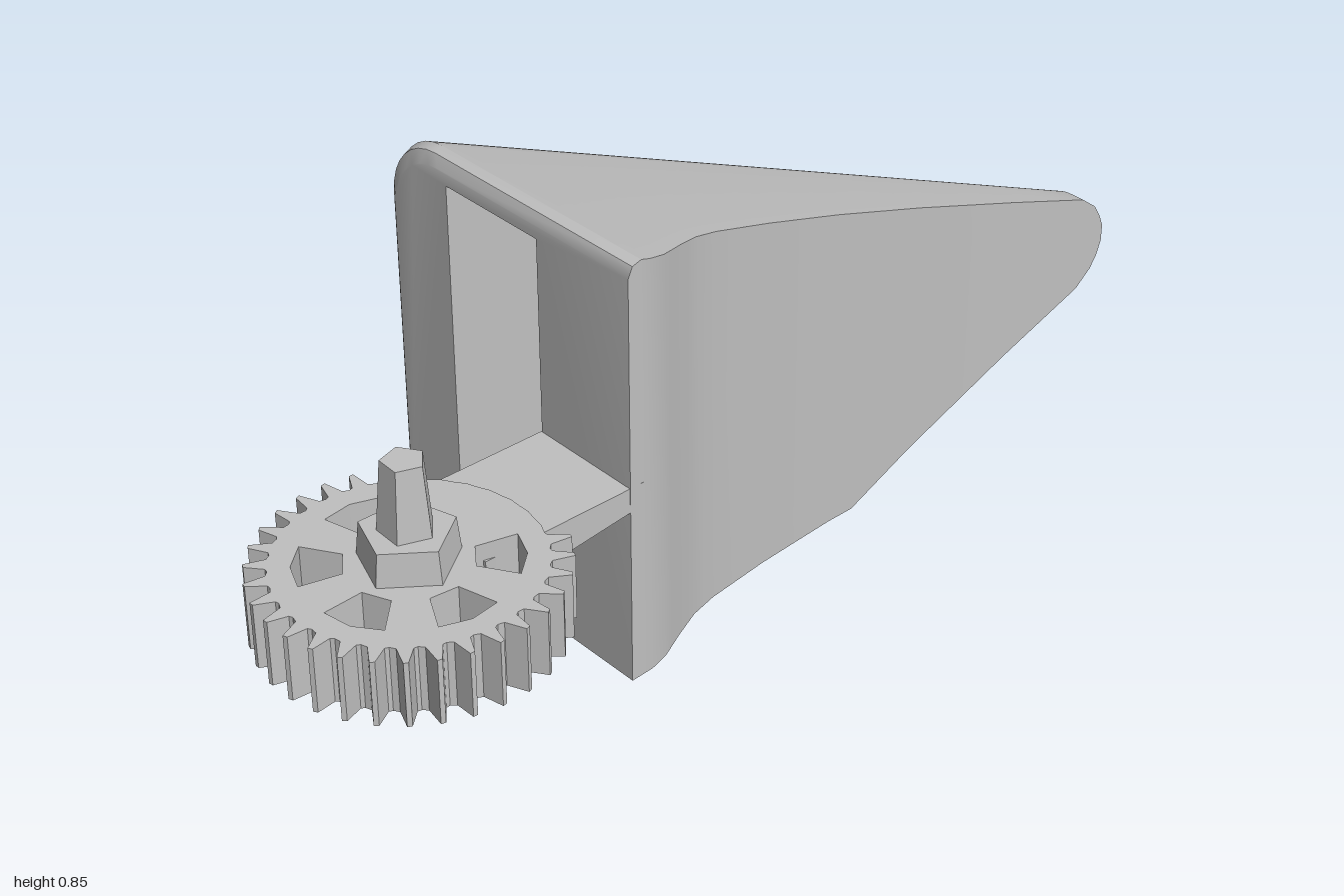
import * as THREE from 'three';
import { toCreasedNormals } from 'three/addons/utils/BufferGeometryUtils.js';

const grey = new THREE.MeshStandardMaterial({ color: 0xc0c0c0 });

function addPart(group, name, geometry, crease = 0.3) {
  const mesh = new THREE.Mesh(toCreasedNormals(geometry, crease), grey);
  mesh.name = name;
  group.add(mesh);
  return mesh;
}

// Piecewise linear lookup in a short [z, value] table, z falling
function at(table, z) {
  for (let i = 1; i < table.length; i++) {
    const [z0, a] = table[i - 1], [z1, b] = table[i];
    if (z >= z1) return a + (b - a) * Math.min(1, Math.max(0, (z0 - z) / (z0 - z1)));
  }
  return table[table.length - 1][1];
}

const FRONT = 0.31, SLOT_END = -0.285;
const left = [[0.31, -0.415], [0.3, -0.43], [0.28, -0.435], [-0.94, 0.025], [-0.975, 0.05], [-0.99, 0.068], [-1, 0.09]];
const right = [[0.31, 0.216], [0.26, 0.213], [0.22, 0.202], [0.16, 0.172], [0.1, 0.145], [0.04, 0.13],
  [-0.1, 0.113], [-0.28, 0.1], [-0.5, 0.097], [-0.75, 0.105], [-1, 0.12]];
const bottom = [[0.31, 0], [-0.345, 0], [-0.94, 0.262], [-0.975, 0.295], [-0.99, 0.32], [-1, 0.35]];
const top = [[0.31, 0.82], [0.3, 0.84], [0.28, 0.845], [-0.94, 0.462], [-0.975, 0.435], [-0.99, 0.41], [-1, 0.385]];
const topRadius = [[0.31, 0.13], [-0.94, 0.055], [-1, 0.012]];
const bottomRadius = [[0.31, 0.003], [-0.3, 0.005], [-0.6, 0.03], [-0.94, 0.05], [-1, 0.012]];

// One cross-section of the housing, anticlockwise, with or without the slot
function section(z, open) {
  const xl = at(left, z), xr = at(right, z), yb = at(bottom, z), yt = at(top, z);
  const rt = at(topRadius, z), rb = at(bottomRadius, z);
  const t = (FRONT - z) / (FRONT - SLOT_END);
  const past = Math.max(0, t - 1);
  const w = xr - xl;
  let sl = -0.262 + 0.122 * t, sr = -0.018 + 0.1 * t;
  if (past > 0) { sl = xl + 0.45 * w; sr = xl + 0.8 * w; }
  const ceiling = open ? 0.795 - 0.145 * t : yb;
  const pts = [[sr, yb], [xr, yb], [xr, yt]];
  for (let i = 0; i <= 8; i++) {
    const a = Math.PI / 2 * (1 + i / 8);
    pts.push([xl + rt + rt * Math.cos(a), yt - rt + rt * Math.sin(a)]);
  }
  for (let i = 0; i <= 4; i++) {
    const a = Math.PI * (1 + i / 8);
    pts.push([xl + rb + rb * Math.cos(a), yb + rb + rb * Math.sin(a)]);
  }
  pts.push([sl, yb], [sl, ceiling], [sr, ceiling]);
  return pts.map(([x, y]) => new THREE.Vector3(x, y, z));
}

// Loft through the sections; the slot closes where open and solid sections meet
function housingGeometry() {
  const zs = [0.31, 0.3, 0.28, 0.26, 0.22, 0.19, 0.16, 0.13, 0.1, 0.07, 0.04, -0.03, -0.1, -0.19, SLOT_END];
  const solid = [SLOT_END, -0.345, -0.5, -0.62, -0.75, -0.85, -0.94, -0.96, -0.975, -0.99, -1];
  const rows = [...zs.map(z => section(z, true)), ...solid.map(z => section(z, false))];
  const out = [], n = rows[0].length;
  const triangle = (a, b, c) => {
    const area = b.clone().sub(a).cross(c.clone().sub(a)).length();
    if (area > 1e-8) for (const p of [a, b, c]) out.push(p.x, p.y, p.z);
  };
  for (let i = 0; i < rows.length - 1; i++) {
    for (let j = 0; j < n; j++) {
      const k = (j + 1) % n, f = rows[i], b = rows[i + 1];
      triangle(f[j], b[j], f[k]);
      triangle(f[k], b[j], b[k]);
    }
  }
  // Front face around the slot, and the small end face at the tip
  const first = rows[0], last = rows[rows.length - 1];
  const outline = first.map(p => new THREE.Vector2(p.x, p.y));
  for (const [a, b, c] of THREE.ShapeUtils.triangulateShape(outline, [])) triangle(first[a], first[b], first[c]);
  const middle = last.reduce((s, p) => s.add(p), new THREE.Vector3()).divideScalar(n);
  last.forEach((p, j) => triangle(middle, last[(j + 1) % n], p));
  const geometry = new THREE.BufferGeometry();
  geometry.setAttribute('position', new THREE.Float32BufferAttribute(out, 3));
  return geometry;
}

const polar = (r, degrees) => {
  const a = degrees * Math.PI / 180;
  return new THREE.Vector2(r * Math.cos(a), r * Math.sin(a));
};

// Toothed wheel with a plain arc facing the arm and five windows
function gearGeometry() {
  const teeth = 32, step = 360 / teeth, outline = [];
  for (let i = 0; i < teeth; i++) {
    const a = i * step;
    const plain = a > 64 && a < 152;
    outline.push(polar(0.227, a));
    if (plain) outline.push(polar(0.229, a + step / 2));
    else outline.push(polar(0.23, a + step * 0.25), polar(0.267, a + step * 0.52),
      polar(0.265, a + step * 0.68), polar(0.23, a + step * 0.85));
  }
  const shape = new THREE.Shape(outline);
  for (const k of [0, 1, 3, 4, 5]) {
    const c = 60 * k - 6;
    shape.holes.push(new THREE.Path([polar(0.11, c - 14), polar(0.185, c - 17), polar(0.19, c),
      polar(0.185, c + 17), polar(0.11, c + 14)]));
  }
  return new THREE.ExtrudeGeometry(shape, { depth: 0.125, bevelEnabled: false }).rotateX(-Math.PI / 2);
}

export function createModel() {
  const model = new THREE.Group();
  model.name = 'model';

  addPart(model, 'housing', housingGeometry(), 0.5);

  // Arm: a plate whose underside drops toward the gear
  const arm = new THREE.BoxGeometry(0.235, 0.06, 0.34).translate(0.0975, 0.38, 0.45);
  const p = arm.attributes.position;
  for (let i = 0; i < p.count; i++) {
    if (p.getY(i) < 0.38) p.setY(i, p.getZ(i) < 0.45 ? 0.364 : 0.325);
  }
  addPart(model, 'arm', arm);

  const wheel = new THREE.Group();
  wheel.name = 'gearAssembly';
  wheel.position.set(0.165, 0, 0.735);
  model.add(wheel);
  addPart(wheel, 'gear', gearGeometry()).position.y = 0.318;

  // Faceted hub and axle: name, lower y, upper y, lower radius, upper radius, turn
  const facets = [
    ['upperHub', 0.44, 0.505, 0.09, 0.083, 0.3],
    ['upperAxle', 0.5, 0.638, 0.05, 0.038, 0.6],
    ['lowerHub', 0.285, 0.32, 0.092, 0.092, 0.9],
    ['lowerHubRim', 0.264, 0.285, 0.074, 0.092, 0.9],
    ['lowerAxle', 0.195, 0.266, 0.046, 0.048, 0.4],
    ['lowerAxleTip', 0.176, 0.195, 0.036, 0.046, 0.4],
  ];
  for (const [name, y0, y1, r0, r1, turn] of facets) {
    const part = addPart(wheel, name, new THREE.CylinderGeometry(r1, r0, y1 - y0, 5), 0.1);
    part.position.y = (y0 + y1) / 2;
    part.rotation.y = turn;
  }
  return model;
}
